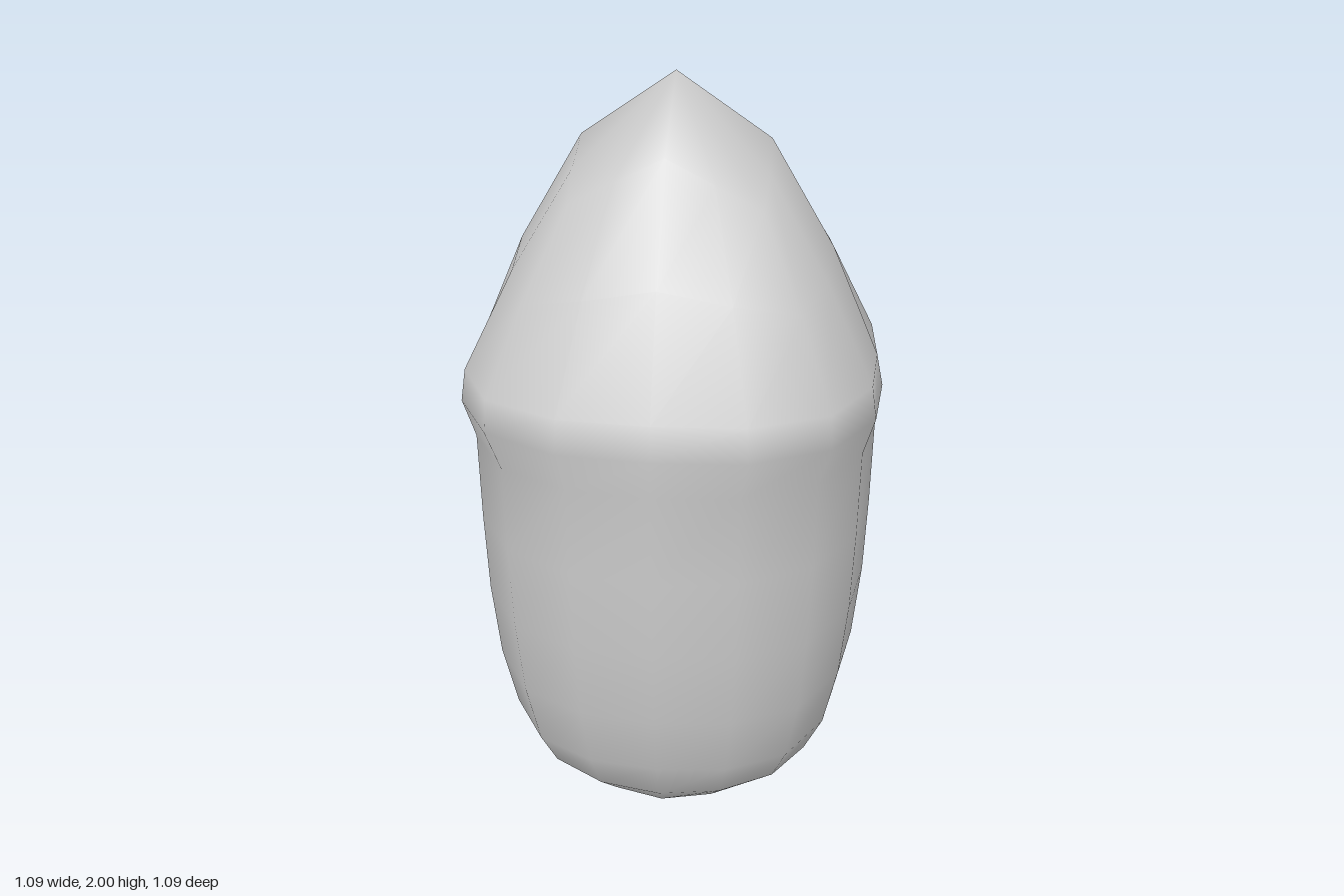
import * as THREE from 'three';

const SIDES = 16;

// Rings from bottom to top: face half width and height, corner half width and height, roundness
const RINGS = [
  [0.21, 0.025, 0.165, 0.045, 1.03],
  [0.345, 0.075, 0.25, 0.09, 1.07],
  [0.408, 0.143, 0.3, 0.15, 1.08],
  [0.463, 0.265, 0.335, 0.245, 1.08],
  [0.5, 0.44, 0.364, 0.42, 1.08],
  [0.52, 0.65, 0.38, 0.63, 1.08],
  [0.527, 0.86, 0.387, 0.86, 1.08],
  [0.53, 1.1, 0.39, 1.09, 1.08],
  [0.543, 1.2, 0.42, 1.2, 1.09],
  [0.525, 1.285, 0.415, 1.285, 1.09],
  [0.4, 1.57, 0.335, 1.5, 1.06],
  [0.238, 1.84, 0.235, 1.72, 1.02],
];

// One rounded-square ring point: face middle, corner, or the point between them
function ringPoint([face, faceY, corner, cornerY, round], i) {
  const k = i % 4;
  let x = face, z = 0, y = faceY;
  if (k === 2) [x, z, y] = [corner, corner, cornerY];
  else if (k !== 0) {
    const long = (face + corner) / 2 * round, short = corner / 2 * round;
    [x, z] = k === 1 ? [long, short] : [short, long];
    y = (faceY + cornerY) / 2;
  }
  // Turn the quarter into place
  for (let q = 0; q < Math.floor(i / 4); q++) [x, z] = [-z, x];
  return [x, y, z];
}

// Skin the rings and close both ends with a point
function loft(rings, bottomY, topY) {
  const positions = [], index = [];
  for (const ring of rings)
    for (let i = 0; i < SIDES; i++) positions.push(...ringPoint(ring, i));
  const bottom = rings.length * SIDES, top = bottom + 1;
  positions.push(0, bottomY, 0, 0, topY, 0);
  const last = (rings.length - 1) * SIDES;
  for (let i = 0; i < SIDES; i++) {
    const j = (i + 1) % SIDES;
    for (let r = 0; r < last; r += SIDES) {
      const a = r + i, b = r + j, c = a + SIDES, d = b + SIDES;
      index.push(a, c, b, b, c, d);
    }
    index.push(bottom, i, j, top, last + j, last + i);
  }
  const geometry = new THREE.BufferGeometry();
  geometry.setAttribute('position', new THREE.Float32BufferAttribute(positions, 3));
  geometry.setIndex(index);
  geometry.computeVertexNormals();
  return geometry;
}

export function createModel() {
  const group = new THREE.Group();
  group.name = 'acorn';
  // Rounded body and pointed cap in one smooth skin
  const shell = new THREE.Mesh(
    loft(RINGS, 0, 2),
    new THREE.MeshStandardMaterial({ color: 0xcccccc }),
  );
  shell.name = 'bodyAndCap';
  group.add(shell);
  return group;
}
